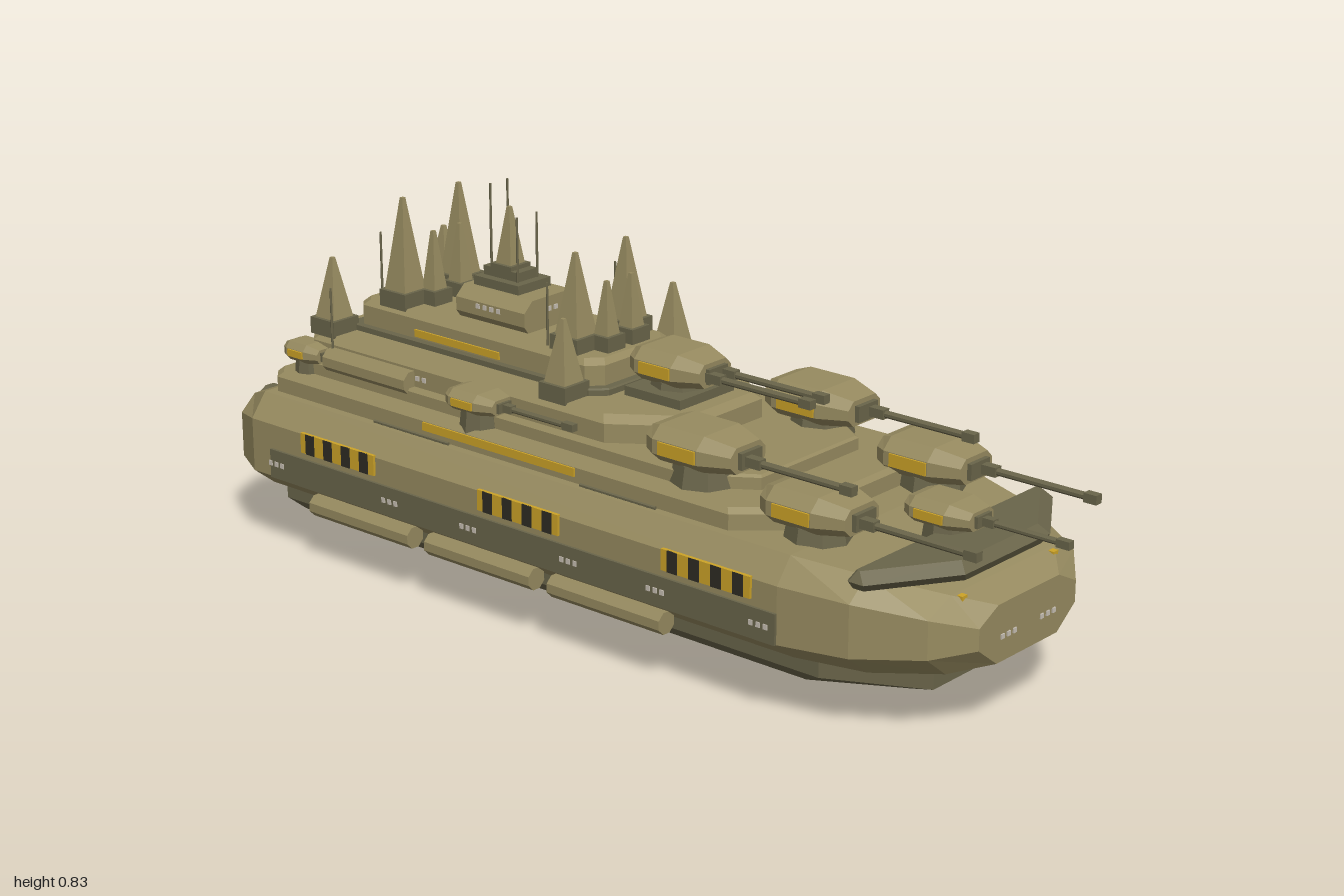
import * as THREE from 'three';

const mat = (name, color) => Object.assign(new THREE.MeshStandardMaterial({ color, flatShading: true }), { name });

// Closed solid through rings of equal point count, with flat end caps
function loft(rings) {
  const n = rings[0].length, pos = [];
  const tri = (...p) => p.forEach(v => pos.push(...v));
  for (let r = 0; r + 1 < rings.length; r++) {
    const a = rings[r], b = rings[r + 1];
    for (let i = 0; i < n; i++) {
      const j = (i + 1) % n;
      tri(a[i], a[j], b[j]);
      tri(a[i], b[j], b[i]);
    }
  }
  const first = rings[0], last = rings[rings.length - 1];
  for (let i = 1; i + 1 < n; i++) {
    tri(last[0], last[i], last[i + 1]);
    tri(first[0], first[i + 1], first[i]);
  }
  const g = new THREE.BufferGeometry();
  g.setAttribute('position', new THREE.Float32BufferAttribute(pos, 3));
  g.computeVertexNormals();
  return g;
}

// Eight-sided section across the ship: widest, top and bottom half widths, four heights
const section = (x, w, wt, wb, bot, lo, hi, top) => [
  [x, lo, -w], [x, hi, -w], [x, top, -wt], [x, top, wt],
  [x, hi, w], [x, lo, w], [x, bot, wb], [x, bot, -wb]];

// Eight-sided deck outline: bow corners cut by cx, cz and stern corners by r
const outline = (y, x0, x1, w, cx, cz, r) => [
  [x1, y, w - cz], [x1, y, cz - w], [x1 - cx, y, -w], [x0 + r, y, -w],
  [x0, y, r - w], [x0, y, w - r], [x0 + r, y, w], [x1 - cx, y, w]];

export function createModel() {
  const ship = new THREE.Group();
  ship.name = 'battleship';
  const tan = mat('tanArmour', 0x978b60), olive = mat('darkOlive', 0x6a654a),
    gold = mat('gold', 0xcda428), black = mat('black', 0x2e2c24),
    pale = mat('paleWindow', 0xc8c0b4), glow = mat('engineGrey', 0xb5a2a8);

  const add = (name, geo, m, x = 0, y = 0, z = 0, parent = ship) => {
    const mesh = new THREE.Mesh(geo, m);
    mesh.name = name;
    mesh.position.set(x, y, z);
    parent.add(mesh);
    return mesh;
  };
  const box = (name, m, x0, x1, y0, y1, z, d, parent) =>
    add(name, new THREE.BoxGeometry(x1 - x0, y1 - y0, d), m, (x0 + x1) / 2, (y0 + y1) / 2, z, parent);
  const rodX = (name, m, x0, x1, y, z, r, sides = 8, parent) => {
    const g = new THREE.CylinderGeometry(r, r, x1 - x0, sides);
    g.rotateY(Math.PI / sides).rotateZ(-Math.PI / 2);
    return add(name, g, m, (x0 + x1) / 2, y, z, parent);
  };
  const deck = (name, m, y0, y1, bevel, x0, x1, w, cx, cz, r) => add(name, loft([
    outline(y0, x0, x1, w, cx, cz, r),
    outline(y1 - bevel, x0, x1, w, cx, cz, r),
    outline(y1, x0 + bevel, x1 - bevel, w - bevel, cx, cz, r)]), m);

  // Main hull, lower hull and keel
  add('mainHull', loft([
    section(-0.98, 0.30, 0.26, 0.25, 0.14, 0.175, 0.275, 0.31),
    section(-0.90, 0.34, 0.30, 0.285, 0.127, 0.17, 0.29, 0.342),
    section(0.57, 0.34, 0.30, 0.285, 0.127, 0.17, 0.29, 0.342),
    section(0.72, 0.312, 0.26, 0.25, 0.127, 0.175, 0.285, 0.328),
    section(0.85, 0.24, 0.17, 0.18, 0.138, 0.185, 0.265, 0.295),
    section(0.91, 0.16, 0.10, 0.10, 0.15, 0.195, 0.24, 0.27)]), tan);
  add('lowerHull', loft([
    outline(0.053, -0.90, 0.73, 0.22, 0.18, 0.10, 0.03),
    outline(0.08, -0.93, 0.80, 0.247, 0.20, 0.10, 0.03),
    outline(0.14, -0.93, 0.80, 0.247, 0.20, 0.10, 0.03)]), olive);
  add('keel', loft([
    outline(0, -0.81, 0.38, 0.10, 0.10, 0.06, 0.01),
    outline(0.03, -0.81, 0.50, 0.12, 0.12, 0.07, 0.01),
    outline(0.06, -0.81, 0.51, 0.12, 0.12, 0.07, 0.01)]), tan);

  // Overhanging bow plate
  add('bowPlate', loft([
    outline(0.312, 0.71, 0.85, 0.295, 0.11, 0.17, 0.005),
    outline(0.33, 0.71, 0.86, 0.31, 0.11, 0.17, 0.005),
    outline(0.35, 0.72, 0.84, 0.295, 0.11, 0.17, 0.005)]), olive);

  // Stepped decks
  deck('firstDeck', tan, 0.335, 0.385, 0.01, -0.91, 0.50, 0.28, 0.10, 0.09, 0.03);
  deck('recessedDeck', tan, 0.38, 0.415, 0.005, -0.88, 0.38, 0.235, 0.12, 0.08, 0.03);
  deck('secondDeck', tan, 0.41, 0.47, 0.015, -0.86, 0.16, 0.215, 0.14, 0.10, 0.03);
  deck('thirdDeckFoot', olive, 0.465, 0.485, 0.003, -0.80, -0.06, 0.14, 0.03, 0.03, 0.02);
  deck('thirdDeck', tan, 0.48, 0.54, 0.012, -0.78, -0.08, 0.13, 0.03, 0.03, 0.02);

  // Bridge
  add('bridge', loft([-0.52, -0.32].map(x => section(x, 0.085, 0.06, 0.07, 0.535, 0.555, 0.585, 0.608))), tan);
  box('bridgeTop', olive, -0.50, -0.37, 0.605, 0.628, 0, 0.10);
  box('bridgeMast', olive, -0.49, -0.39, 0.62, 0.648, 0, 0.06);
  for (const z of [-0.01, 0.01]) box('bridgeWindow', pale, -0.322, -0.317, 0.576, 0.586, z, 0.01);

  // Blunt-tipped spires on dark plinths
  const spire = (x, z, base, tip, r) => {
    const g = new THREE.CylinderGeometry(0.006, r * Math.SQRT2, tip - base - 0.03, 4);
    g.rotateY(Math.PI / 4);
    add('spire', g, tan, x, (tip + base + 0.03) / 2, z);
    box('spirePlinth', olive, x - r - 0.008, x + r + 0.008, base - 0.005, base + 0.032, z, 2 * r + 0.016);
  };
  spire(-0.44, 0, 0.625, 0.78, 0.022);

  const aerial = (x, z, y0, y1) =>
    add('aerial', new THREE.CylinderGeometry(0.0025, 0.003, y1 - y0, 6), olive, x, (y0 + y1) / 2, z);

  // Gun turret facing the bow, origin at the bottom centre of its body
  const turret = (name, x, y, z, L, W, H, reach, guns) => {
    const t = new THREE.Group();
    t.name = name;
    t.position.set(x, y, z);
    ship.add(t);
    const s = (u, w, lift, top) => section(u * L, w * W, w * W * 0.68, w * W * 0.68,
      lift * H, H * (0.28 + lift * 0.4), H * Math.min(0.68, top - 0.22), top * H);
    add('turretBody', loft([s(-0.5, 0.39, 0.06, 0.88), s(-0.36, 0.5, 0, 1), s(0.18, 0.5, 0, 1), s(0.5, 0.34, 0.1, 0.82)]),
      tan, 0, 0, 0, t);
    add('turretRing', new THREE.CylinderGeometry(W * 0.4, W * 0.46, 0.05, 8), olive, -0.02 * L, -0.02, 0, t);
    box('mantlet', olive, 0.44 * L, 0.55 * L, 0.22 * H, 0.68 * H, 0, W * 0.4, t);
    for (const side of [-1, 1])
      box('turretStripe', gold, -0.28 * L, 0.17 * L, 0.3 * H, 0.66 * H, side * (W * 0.5 + 0.001), 0.006, t);
    const r = 0.004 + H * 0.05, end = reach - x;
    for (const gz of guns) {
      rodX('barrel', olive, 0.5 * L, end, 0.44 * H, gz, r, 8, t);
      box('barrelSleeve', olive, 0.5 * L, 0.72 * L, 0.44 * H - r * 1.3, 0.44 * H + r * 1.3, gz, r * 2.6, t);
      box('muzzle', olive, end - 0.03, end, 0.44 * H - r * 1.25, 0.44 * H + r * 1.25, gz, r * 2.5, t);
    }
  };
  turret('upperTurret', 0.04, 0.5, 0, 0.18, 0.145, 0.07, 0.40, [-0.022, 0.022]);
  turret('bowTurret', 0.72, 0.36, 0, 0.15, 0.115, 0.052, 1.0, [0]);
  box('upperTurretBase', olive, -0.04, 0.11, 0.46, 0.49, 0, 0.17);

  // Engines
  const engine = (y, z, r) => {
    rodX('engineNozzle', olive, -0.998, -0.96, y, z, r, 12);
    rodX('engineDisc', glow, -1.0, -0.996, y, z, r * 0.92, 12);
  };

  // Everything mirrored on both sides
  for (const s of [-1, 1]) {
    turret('middleTurret', 0.265, 0.425, s * 0.185, 0.21, 0.155, 0.075, 0.64, [s * 0.012]);
    turret('forwardTurret', 0.55, 0.368, s * 0.185, 0.2, 0.155, 0.075, 0.93, [s * 0.012]);
    turret('sideTurret', -0.305, 0.418, s * 0.236, 0.13, 0.095, 0.045, -0.04, [0]);
    turret('sternTurret', -0.835, 0.41, s * 0.225, 0.1, 0.07, 0.042, -0.72, [0]);
    rodX('sideCasing', tan, -0.77, -0.52, 0.425, s * 0.222, 0.027);

    spire(-0.81, s * 0.17, 0.47, 0.635, 0.029);
    spire(-0.13, s * 0.17, 0.47, 0.635, 0.029);
    spire(-0.675, s * 0.085, 0.54, 0.775, 0.031);
    spire(-0.63, s * 0.04, 0.54, 0.70, 0.019);
    spire(-0.18, s * 0.078, 0.54, 0.745, 0.031);
    spire(-0.13, s * 0.038, 0.54, 0.685, 0.019);

    aerial(-0.47, s * 0.026, 0.62, 0.83);
    aerial(-0.39, s * 0.03, 0.60, 0.77);
    aerial(-0.72, s * 0.11, 0.53, 0.695);
    aerial(-0.235, s * 0.105, 0.53, 0.675);
    aerial(-0.765, s * 0.22, 0.41, 0.585);

    engine(0.225, s * 0.063, 0.047);
    engine(0.268, s * 0.2, 0.045);
    engine(0.18, s * 0.2, 0.045);

    // Side belt with window groups
    box('sideBelt', olive, -0.84, 0.57, 0.17, 0.235, s * 0.34, 0.012);
    for (const x of [-0.82, -0.47, -0.24, 0.04, 0.27, 0.53])
      for (const d of [-0.018, 0, 0.018])
        box('beltWindow', pale, x + d - 0.005, x + d + 0.005, 0.198, 0.209, s * 0.3465, 0.003);

    // Hazard panels
    for (const x of [-0.628, -0.1, 0.397]) {
      box('hazardPanel', gold, x - 0.112, x + 0.112, 0.25, 0.295, s * 0.342, 0.008);
      for (const i of [-1.5, -0.5, 0.5, 1.5])
        box('hazardBar', black, x + i * 0.055 - 0.013, x + i * 0.055 + 0.013, 0.25, 0.295, s * 0.346, 0.003);
    }

    // Lower side pods, deck stripes, rails and small windows
    for (const x of [-0.72, -0.37, -0.02]) rodX('sidePod', tan, x, x + 0.3, 0.13, s * 0.323, 0.025);
    box('firstDeckStripe', gold, -0.43, 0.0, 0.356, 0.374, s * 0.281, 0.006);
    box('thirdDeckStripe', gold, -0.6, -0.35, 0.49, 0.506, s * 0.131, 0.006);
    rodX('deckRail', olive, -0.57, -0.35, 0.345, s * 0.287, 0.004, 6);
    rodX('deckRail', olive, 0.02, 0.22, 0.345, s * 0.287, 0.004, 6);
    for (const x of [-0.535, -0.515, -0.495]) box('deckWindow', pale, x, x + 0.01, 0.43, 0.44, s * 0.216, 0.004);
    for (const x of [-0.46, -0.44, -0.42, -0.4])
      box('bridgeSideWindow', pale, x, x + 0.01, 0.571, 0.581, s * 0.0855, 0.004);
    for (const z of [0.065, 0.085, 0.045]) box('bowWindow', pale, 0.908, 0.913, 0.197, 0.207, s * z, 0.01);
    box('bowMarker', gold, 0.846, 0.868, 0.284, 0.293, s * 0.15, 0.016);
  }
  return ship;
}
